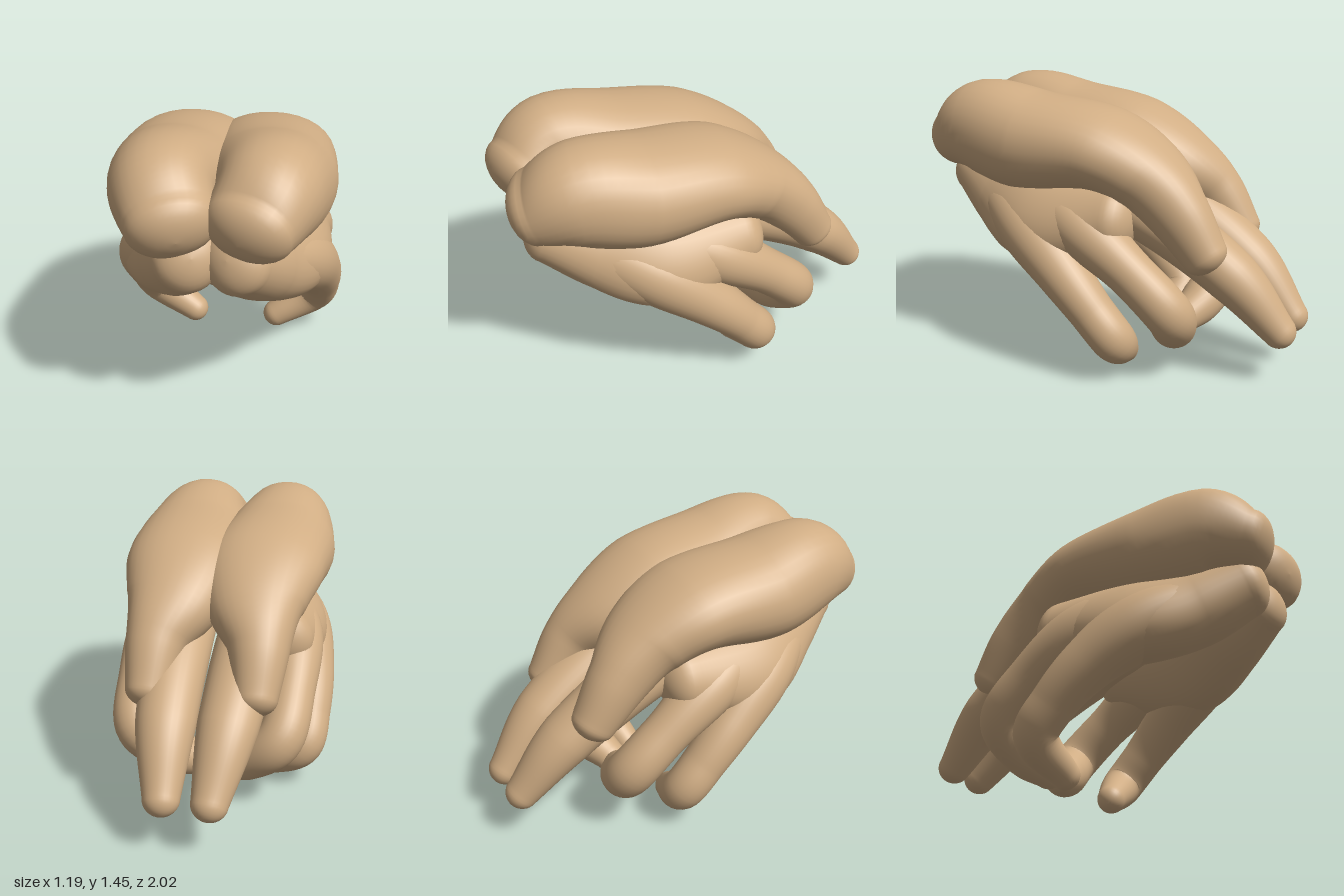
import * as THREE from 'three';

const SIDES = 32, STEPS = 48, CAP = 8;
const skin = new THREE.MeshStandardMaterial({ color: 0xd0ad84 });

// Directions the width of a section follows
const ACROSS = new THREE.Vector3(1, 0, 0);
const PALM_TILT = new THREE.Vector3(0.55, -0.8, 0).normalize();
const CURL = new THREE.Vector3(0, 1, -1).normalize();

// Smooth tube with rounded ends. Each row: x, y, z, half-width, half-thickness (if different).
// `power` above 2 squares the section; `round` scales the length of the rounded ends.
function limb(name, mirror, axis, rows, power = 2, round = 1) {
  const path = new THREE.CatmullRomCurve3(rows.map(r => new THREE.Vector3(r[0], r[1], r[2])));
  const size = new THREE.CatmullRomCurve3(rows.map(r => new THREE.Vector3(r[3], r[4] ?? r[3], 0)));
  const pos = [], index = [];
  const last = STEPS + 2 * CAP;
  for (let i = 0; i <= last; i++) {
    const t = THREE.MathUtils.clamp((i - CAP) / STEPS, 0, 1);
    const capAngle = (Math.min(0, i - CAP) + Math.max(0, i - CAP - STEPS)) / CAP * Math.PI / 2;
    const p = path.getPoint(t), s = size.getPoint(t), dir = path.getTangent(t);
    const u = axis.clone().addScaledVector(dir, -axis.dot(dir)).normalize();
    const v = dir.clone().cross(u);
    const shrink = Math.cos(capAngle);
    p.addScaledVector(dir, Math.sin(capAngle) * round * Math.min(s.x, s.y));
    for (let j = 0; j < SIDES; j++) {
      const a = j / SIDES * Math.PI * 2, c = Math.cos(a), n = Math.sin(a);
      const q = p.clone()
        .addScaledVector(u, s.x * shrink * Math.sign(c) * Math.abs(c) ** (2 / power))
        .addScaledVector(v, s.y * shrink * Math.sign(n) * Math.abs(n) ** (2 / power));
      pos.push(q.x * mirror, q.y, q.z);
      if (i === last) continue;
      const A = i * SIDES + j, B = i * SIDES + (j + 1) % SIDES, C = A + SIDES, D = B + SIDES;
      if (mirror > 0) index.push(A, B, C, B, D, C);
      else index.push(A, C, B, B, C, D);
    }
  }
  const g = new THREE.BufferGeometry();
  g.setAttribute('position', new THREE.Float32BufferAttribute(pos, 3));
  g.setIndex(index);
  g.computeVertexNormals();
  const mesh = new THREE.Mesh(g, skin);
  mesh.name = name;
  return mesh;
}

function createHand(mirror) {
  const hand = new THREE.Group();
  hand.name = mirror > 0 ? 'leftHand' : 'rightHand';

  // Wrist and back of the hand, running into the thumb
  hand.add(limb('wristAndThumb', mirror, ACROSS, [
    [0.17, 1.14, 0.88, 0.21, 0.17],
    [0.235, 1.2, 0.7, 0.25, 0.25],
    [0.23, 1.15, 0.4, 0.315, 0.26],
    [0.2, 1.13, 0, 0.32, 0.21],
    [0.21, 1.01, -0.25, 0.25, 0.18],
    [0.255, 0.86, -0.42, 0.155, 0.155],
    [0.265, 0.66, -0.57, 0.11, 0.115],
  ], 2.1, 0.75));

  // Slab under the wrist, leaning outward toward the little finger
  hand.add(limb('palm', mirror, PALM_TILT, [
    [0.11, 0.95, 0.82, 0.17, 0.16],
    [0.18, 0.86, 0.6, 0.23, 0.19],
    [0.31, 0.78, 0.32, 0.26, 0.19],
    [0.32, 0.81, -0.1, 0.18, 0.16],
  ], 2.1, 0.75));

  hand.add(limb('straightFinger', mirror, ACROSS, [
    [0.18, 0.92, 0.15, 0.15],
    [0.18, 0.83, -0.2, 0.17, 0.15],
    [0.15, 0.54, -0.67, 0.148, 0.135],
    [0.115, 0.275, -0.915, 0.09, 0.085],
  ]));

  // Two fingers, rooted in the palm, that bend inward at the knuckle
  hand.add(limb('curledMiddleFinger', mirror, CURL, [
    [0.24, 0.9, 0.45, 0.13],
    [0.375, 0.76, 0.06, 0.15],
    [0.4, 0.55, -0.25, 0.12],
    [0.36, 0.37, -0.42, 0.122],
    [0.2, 0.24, -0.385, 0.118],
    [0.06, 0.175, -0.33, 0.088],
  ]));
  hand.add(limb('littleFinger', mirror, CURL, [
    [0.2, 0.87, 0.65, 0.14],
    [0.37, 0.72, 0.36, 0.165],
    [0.455, 0.53, 0.12, 0.135],
    [0.475, 0.36, -0.05, 0.115],
    [0.45, 0.22, -0.16, 0.112],
    [0.24, 0.078, -0.12, 0.076],
  ]));
  return hand;
}

export function createModel() {
  const model = new THREE.Group();
  model.name = 'pairOfHands';
  model.add(createHand(1), createHand(-1));
  return model;
}
